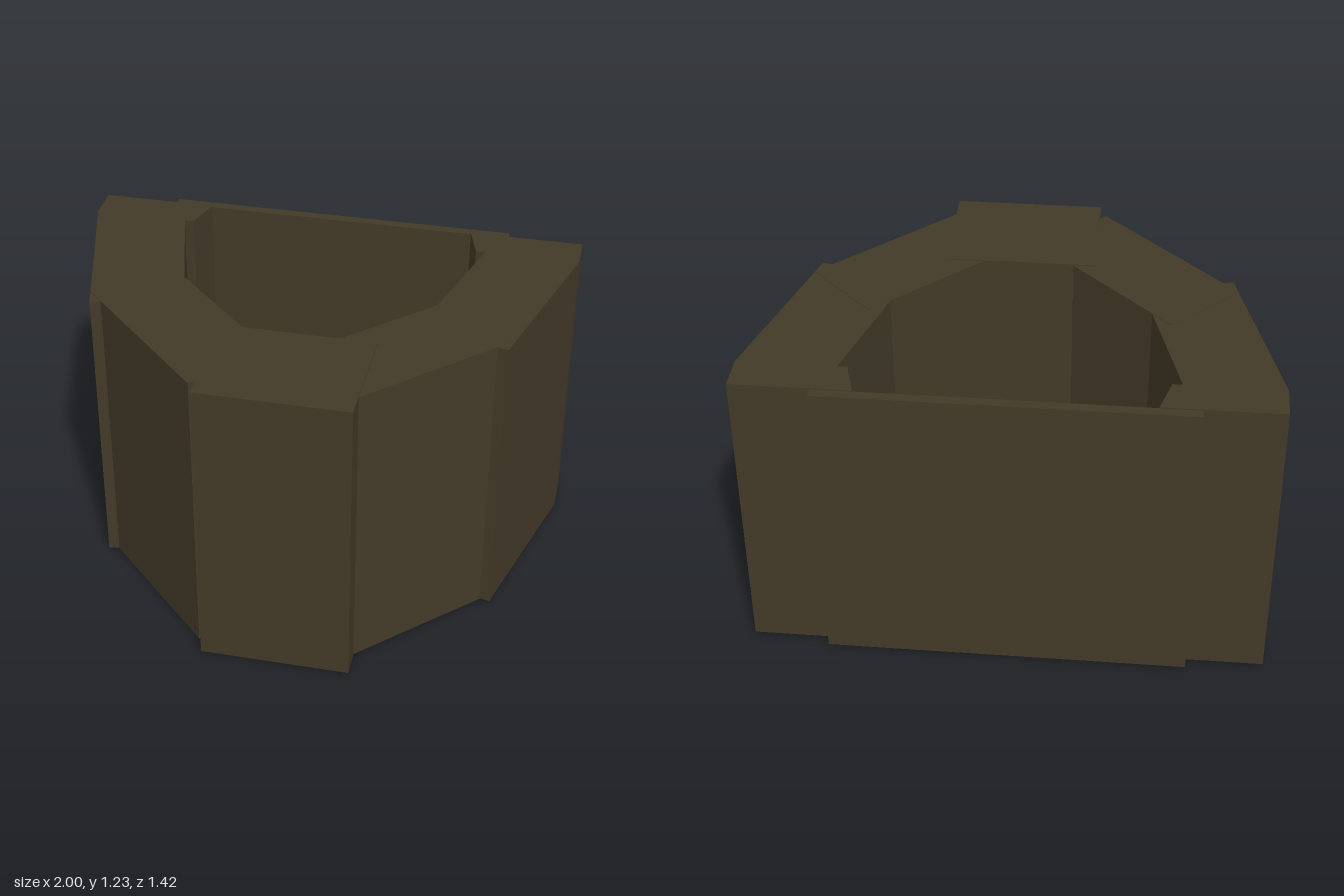
import * as THREE from 'three';

export function createModel() {
  const group = new THREE.Group();
  const olive = new THREE.MeshStandardMaterial({ color: 0x433a28 });
  olive.name = 'darkOlive';

  // Upright prism from a plan outline of [x, z] points
  function prism(name, plan, bottom, top) {
    const shape = new THREE.Shape(plan.map(([x, z]) => new THREE.Vector2(x, -z)));
    const geometry = new THREE.ExtrudeGeometry(shape, { depth: top - bottom, bevelEnabled: false });
    geometry.rotateX(-Math.PI / 2);
    geometry.translate(0, bottom, 0);
    const mesh = new THREE.Mesh(geometry, olive);
    mesh.name = name;
    group.add(mesh);
  }

  const rect = (x0, x1, z0, z1) => [[x0, z0], [x1, z0], [x1, z1], [x0, z1]];

  // Front block (slightly off centre) and thin back plate
  prism('frontBlock', rect(-0.262, 0.328, 0.247, 0.712), 0, 1.225);
  prism('backPlate', rect(-0.7, 0.7, -0.712, -0.672), 0.013, 1.213);

  // Mirrored wall segments
  for (const [side, s] of [['left', 1], ['right', -1]]) {
    const mirror = (plan) => plan.map(([x, z]) => [x * s, z]);
    prism(side + 'DiagonalWall',
      mirror([[0.826, 0.11], [0.286, 0.65], [0.031, 0.395], [0.571, -0.145]]), 0.006, 1.22);
    prism(side + 'SideWall',
      mirror([[1, -0.53], [0.806, 0.182], [0.455, 0.088], [0.625, -0.53]]), 0.01, 1.218);
    prism(side + 'RearPost',
      mirror([[1, -0.674], [1, -0.528], [0.587, -0.528], [0.545, -0.674]]), 0.019, 1.218);
  }
  return group;
}
